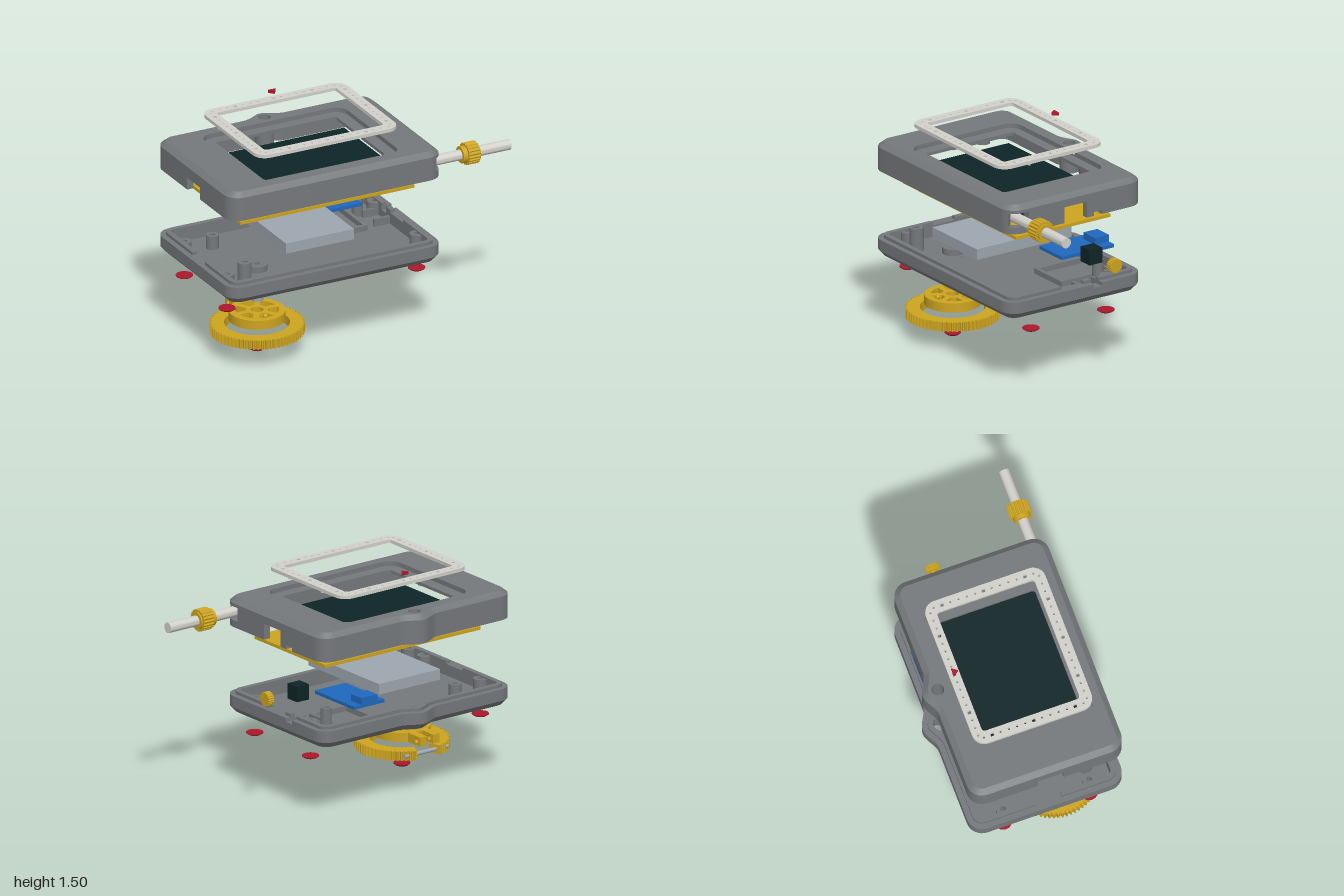
import * as THREE from 'three';
import { toCreasedNormals } from 'three/addons/utils/BufferGeometryUtils.js';

const mat = (name, color) => Object.assign(new THREE.MeshStandardMaterial({ color }), { name });
const grey = mat('case grey', 0x75787b), gold = mat('gold', 0xcda41f), white = mat('off white', 0xd2d0ca);
const dark = mat('dark green black', 0x0e2426), blue = mat('board blue', 0x1f68bd);
const red = mat('red', 0xac182b), silver = mat('silver', 0x9da6af);

const V = (x, v) => new THREE.Vector2(x, v);
// Plan points are (x, -z), counter-clockwise seen from above
const arc = (x, z, r, a0, a1, n) => Array.from({ length: n + 1 }, (_, i) => {
  const a = THREE.MathUtils.degToRad(a0 + (a1 - a0) * i / n);
  return V(x + r * Math.cos(a), -z + r * Math.sin(a));
});
const circle = (x, z, r, n = 24) => arc(x, z, r, 0, 360, n).slice(0, -1);
const rect = (x0, x1, z0, z1, r = 0) => r
  ? [...arc(x1 - r, z1 - r, r, -90, 0, 6), ...arc(x1 - r, z0 + r, r, 0, 90, 6),
    ...arc(x0 + r, z0 + r, r, 90, 180, 6), ...arc(x0 + r, z1 - r, r, 180, 270, 6)]
  : [V(x0, -z1), V(x1, -z1), V(x1, -z0), V(x0, -z0)];
// Toothed rim
const teeth = (x, z, r, depth, n, a0 = 0, a1 = 360) => Array.from({ length: n * 4 }, (_, i) => {
  const a = THREE.MathUtils.degToRad(a0 + (a1 - a0) * i / (n * 4));
  const q = i % 4 < 2 ? r : r - depth;
  return V(x + q * Math.cos(a), -z + q * Math.sin(a));
});

// Upright prism from y0 to y1 with holes
function plate(pts, y0, y1, holes = []) {
  const s = new THREE.Shape(pts);
  s.holes = holes.map(h => new THREE.Path(h));
  const g = new THREE.ExtrudeGeometry(s, { depth: y1 - y0, bevelEnabled: false });
  return toCreasedNormals(g.rotateX(-Math.PI / 2).translate(0, y0, 0), 0.5);
}

// Case outline with a lanyard bump at the back, then moved inwards by d
const bump = Array.from({ length: 17 }, (_, i) => {
  const t = 0.15 - 0.3 * i / 16;
  return V(-0.25 + t, 0.49 + 0.0275 * (1 + Math.cos(Math.PI * t / 0.15)));
});
const outline = [...arc(0.4, 0.43, 0.1, -90, 0, 8), V(0.5, -0.385), V(0.5, -0.115), V(0.5, 0.055), V(0.5, 0.11),
  V(0.5, 0.17), ...arc(0.4, -0.39, 0.1, 0, 90, 8), ...bump, ...arc(-0.9, -0.39, 0.1, 90, 180, 8),
  V(-1, 0.055), V(-1, -0.115), ...arc(-0.9, 0.43, 0.1, 180, 270, 8)];
function inset(d) {
  const n = outline.length;
  return outline.map((p, i) => {
    const t1 = p.clone().sub(outline[(i + n - 1) % n]).normalize();
    const t2 = outline[(i + 1) % n].clone().sub(p).normalize();
    const k = d / (1 + t1.dot(t2));
    return V(p.x - (t1.y + t2.y) * k, p.y + (t1.x + t2.x) * k);
  });
}
// Sloped band between two insets, lower one first
function band(d0, y0, d1, y1) {
  const A = inset(d0), B = inset(d1), n = A.length, pos = [];
  for (let i = 0; i < n; i++) {
    const j = (i + 1) % n;
    const at = (p, y) => [p.x, y, -p.y];
    const a0 = at(A[i], y0), a1 = at(A[j], y0), b0 = at(B[i], y1), b1 = at(B[j], y1);
    pos.push(...a0, ...a1, ...b1, ...a0, ...b1, ...b0);
  }
  const g = new THREE.BufferGeometry();
  g.setAttribute('position', new THREE.Float32BufferAttribute(pos, 3));
  return toCreasedNormals(g, 0.5);
}
// Wall ring between two insets, broken where a gap test is true
function wall(y0, y1, d0, d1, gaps = []) {
  const A = inset(d0), B = inset(d1), n = A.length;
  if (!gaps.length) return [plate(A, y0, y1, [B])];
  const runs = [[0]];
  for (let i = 0; i < n; i++) {
    const m = outline[i].clone().add(outline[(i + 1) % n]).multiplyScalar(0.5);
    if (gaps.some(f => f(m.x, -m.y))) runs.push([i + 1]);
    else runs.at(-1).push((i + 1) % n);
  }
  runs[runs.length - 1].push(...runs.shift().slice(1));
  return runs.filter(r => r.length > 1)
    .map(r => plate([...r.map(i => A[i]), ...r.map(i => B[i]).reverse()], y0, y1));
}
const rightWindow = (x, z) => x > 0.49 && z > -0.055 && z < 0.115;
const leftWindow = (x, z) => x < -0.99 && z > -0.055 && z < 0.115;
const knobNotch = (x, z) => x > 0.49 && z > -0.17 && z < -0.11;
const rodNotch = (x, z) => x > 0.455 && z > 0.385;

export function createModel() {
  const root = new THREE.Group();
  root.name = 'explodedDevice';
  const group = name => { const g = new THREE.Group(); g.name = name; root.add(g); return g; };
  const add = (parent, name, geo, m) => [geo].flat().forEach(g => {
    const mesh = new THREE.Mesh(g, m); mesh.name = name; parent.add(mesh);
  });
  const box = (x0, x1, y0, y1, z0, z1) => new THREE.BoxGeometry(x1 - x0, y1 - y0, z1 - z0)
    .translate((x0 + x1) / 2, (y0 + y1) / 2, (z0 + z1) / 2);
  const tube = (x, z, r, hole, y0, y1) => plate(circle(x, z, r), y0, y1, [circle(x, z, hole, 16)]);
  const alongX = (g, y, z) => g.rotateZ(-Math.PI / 2).translate(0, y, z);
  const gx = -0.63, gz = 0.175;
  const feet = [[-0.915, 0.315], [-0.915, -0.255], [0.42, 0.315], [0.42, -0.255]];
  const eyelet = circle(-0.25, -0.445, 0.04);

  // Pointer and perforated bezel
  add(root, 'pointer', plate([V(-0.25, 0.312), V(-0.223, 0.348), V(-0.277, 0.348)], 1.475, 1.495), red);
  const holes = [rect(-0.665, 0.173, -0.3, 0.347, 0.02)];
  const mark = (x, z, k) => holes.push(Math.abs(k) === 5 || k === 0
    ? rect(x - 0.011, x + 0.011, z - 0.011, z + 0.011) : circle(x, z, 0.008, 8));
  for (let k = -8; k <= 8; k++) [-0.335, 0.385].forEach(z => mark(-0.247 + 0.054 * k, z, k));
  for (let k = -6; k <= 6; k++) [-0.703, 0.211].forEach(x => mark(x, 0.025 + 0.055 * k, k));
  const bezel = group('bezel');
  add(bezel, 'bezelFrame', plate(rect(-0.745, 0.252, -0.37, 0.422, 0.08), 1.415, 1.437, holes), white);
  for (const x of [-0.73, 0.238]) for (const z of [0.2, -0.14])
    add(bezel, 'bezelPin', plate(circle(x, z, 0.008, 10), 1.403, 1.415), white);

  // Upper case: walls with windows, bevel, recessed top
  const upper = group('upperCase');
  const layers = [[1.08, 1.105, rightWindow, leftWindow, knobNotch], [1.105, 1.125, rightWindow, leftWindow],
    [1.125, 1.16, rightWindow, leftWindow, rodNotch], [1.16, 1.185, rightWindow, rodNotch],
    [1.185, 1.215, rodNotch], [1.215, 1.235]];
  for (const [y0, y1, ...gaps] of layers) add(upper, 'upperWall', wall(y0, y1, 0, 0.045, gaps), grey);
  add(upper, 'upperBevel', band(0, 1.235, 0.036, 1.265), grey);
  add(upper, 'topFace', plate(inset(0.036), 1.235, 1.265, [rect(-0.75, 0.257, -0.375, 0.427, 0.085), eyelet]), grey);
  add(upper, 'bezelShelf', plate(inset(0.036), 1.215, 1.235, [rect(-0.67, 0.178, -0.305, 0.352, 0.02), eyelet]), grey);
  add(upper, 'eyeletCollar', tube(-0.25, -0.445, 0.06, 0.04, 1.08, 1.22), grey);
  for (const [x, z] of feet) add(upper, 'screwPost', tube(x, z, 0.045, 0.018, 1.1, 1.215), grey);

  // Screen and circuit board
  add(root, 'screen', box(-0.742, 0.25, 1.076, 1.135, -0.33, 0.39), dark);
  const mounts = [-0.81, 0.315].flatMap(x => [-0.28, 0.34].map(z => circle(x, z, 0.02, 16)));
  add(root, 'circuitBoard', plate(rect(-0.86, 0.365, -0.33, 0.39), 0.985, 1.006, mounts), gold);

  // Side rod with knurled ring
  const rod = group('sideRod');
  add(rod, 'rod', alongX(plate(circle(0, 0, 0.034, 32), 0.42, 1), 1.172, 0.45), white);
  add(rod, 'ringCollar', alongX(tube(0, 0, 0.055, 0.034, 0.655, 0.775), 1.172, 0.45), gold);
  add(rod, 'knurledRing', alongX(plate(teeth(0, 0, 0.072, 0.006, 20), 0.685, 0.765), 1.172, 0.45), gold);

  // Battery, charging board, encoder and its knob
  add(root, 'battery', box(-0.54, -0.06, 0.722, 0.792, -0.33, 0.39), silver);
  add(root, 'chargingBoard', box(-0.012, 0.23, 0.715, 0.736, -0.45, -0.052), blue);
  add(root, 'chargingSocket', box(0.046, 0.172, 0.736, 0.78, -0.452, -0.345), blue);
  add(root, 'encoder', box(0.38, 0.475, 0.745, 0.845, -0.19, -0.092), dark);
  const knob = group('encoderKnob');
  const rim = teeth(0, 0, 0.046, 0.003, 20);
  add(knob, 'knobSleeve', alongX(plate(rim, 0.652, 0.68, [circle(0, 0, 0.022, 16)]), 0.797, -0.142), gold);
  add(knob, 'knobCap', alongX(plate(rim, 0.68, 0.695), 0.797, -0.142), gold);

  // Lower case: grooved base, floor, walls and lip
  const lower = group('lowerCase');
  const clear = (x, z) => x > -0.93 && x < 0.43 && z > -0.42 && z < 0.46
    && Math.hypot(x - gx, z - gz) > 0.325 && Math.hypot(x + 0.25, z + 0.445) > 0.09
    && feet.every(([a, b]) => Math.hypot(x - a, z - b) > 0.085);
  const slots = [], c = Math.cos(Math.PI / 6), s = Math.sin(Math.PI / 6), w = 0.007;
  for (let row = -19; row <= 19; row++) {
    const at = (t, o) => V(-0.25 + c * t - s * (row * 0.045 + o), -(s * t + c * (row * 0.045 + o)));
    let start = null;
    for (let k = -50; k <= 50; k++) {
      const t = k * 0.02, p = at(t, 0);
      const open = clear(p.x, -p.y) && (k + row * 7 + 700) % 17 !== 0;
      if (open && start === null) start = t;
      if (!open && start !== null) {
        if (t - start > 0.05) slots.push([at(start, w), at(t - 0.02, w), at(t - 0.02, -w), at(start, -w)]);
        start = null;
      }
    }
  }
  const pads = feet.map(([x, z]) => circle(x, z, 0.055).map(p => V(THREE.MathUtils.clamp(p.x, -0.958, 0.458), p.y)));
  add(lower, 'groovedBase', plate(inset(0.037), 0.51, 0.525, [...slots, ...pads, circle(gx, gz, 0.3, 48), eyelet]), grey);
  const floorHoles = [eyelet, circle(gx, gz, 0.02, 12)];
  for (let i = 0; i < 3; i++) {
    const a = i * Math.PI * 2 / 3;
    floorHoles.push(circle(gx + 0.1 * Math.cos(a), gz + 0.1 * Math.sin(a), 0.012, 3));
  }
  add(lower, 'floor', plate(inset(0.037), 0.525, 0.55, floorHoles), grey);
  add(lower, 'lowerBevel', band(0.037, 0.51, 0, 0.55), grey);
  add(lower, 'lowerWall', wall(0.55, 0.6, 0, 0.07), grey);
  add(lower, 'lowerWallTop', wall(0.6, 0.625, 0, 0.07, [knobNotch]), grey);
  add(lower, 'lip', wall(0.625, 0.645, 0.036, 0.07, [rightWindow, leftWindow, knobNotch]), grey);
  add(lower, 'eyeletCollar', tube(-0.25, -0.445, 0.06, 0.04, 0.545, 0.625), grey);
  add(lower, 'gearBoss', tube(gx, gz, 0.065, 0.02, 0.55, 0.59), grey);
  for (const [x, z] of feet) add(lower, 'screwPost', tube(x, z, 0.045, 0.018, 0.545, 0.635), grey);
  for (const [x, z, r, y] of [[-0.8, 0.33, 0.045, 0.7], [0.31, -0.27, 0.035, 0.7], [-0.72, -0.25, 0.04, 0.64]])
    add(lower, 'tallPost', tube(x, z, r, 0.018, 0.55, y), grey);
  add(lower, 'boardTray', plate(rect(-0.04, 0.26, -0.42, -0.03), 0.55, 0.585, [rect(-0.015, 0.235, -0.4, -0.055)]), grey);
  for (const z of [-0.22, -0.07]) add(lower, 'encoderRib', box(0.32, 0.44, 0.55, 0.6, z - 0.01, z + 0.01), grey);

  // Domed feet and cap
  const button = (x, z, r, y, h) => toCreasedNormals(new THREE.LatheGeometry(
    [V(0, 0), V(r * 0.4, h * 0.08), V(r * 0.75, h * 0.35), V(r, h * 0.75), V(r, h), V(0, h)], 28).translate(x, y, z), 0.6);
  for (const [x, z] of feet) add(root, 'foot', button(x, z, 0.054, 0.383, 0.022), red);
  add(root, 'gearCap', button(gx, gz, 0.052, 0, 0.026), red);
  add(root, 'magnet', plate(circle(gx, gz, 0.039, 32), 0.345, 0.38), silver);

  // Spoked hub with hinge lugs
  const hub = group('hub');
  const webs = Array.from({ length: 6 }, (_, i) => [...arc(gx, gz, 0.135, i * 60 + 8, i * 60 + 52, 8),
    ...arc(gx, gz, 0.07, i * 60 + 45, i * 60 + 15, 4)]);
  add(hub, 'hubDisc', plate(circle(gx, gz, 0.178, 48), 0.217, 0.277, [...webs, circle(gx, gz, 0.04)]), gold);
  const lug = new THREE.Shape([V(-0.025, 0.217), V(0.11, 0.217), V(0.11, 0.277), V(-0.025, 0.277)]);
  lug.holes.push(new THREE.Path(arc(0.07, -0.247, 0.015, 0, 360, 16).slice(0, -1)));
  for (const x of [-0.075, 0.025]) add(hub, 'hingeLug', new THREE.ExtrudeGeometry(lug, { depth: 0.05, bevelEnabled: false })
    .rotateY(Math.PI / 2).translate(gx + x, 0, 0), gold);
  add(hub, 'detent', new THREE.SphereGeometry(0.015, 16, 10).translate(gx, 0.277, 0.287), gold);

  // Open toothed ring and its pin
  const ring = group('gearRing');
  add(ring, 'toothedRing', plate([...teeth(gx, gz, 0.2975, 0.014, 60, 107, 433),
    ...arc(gx, gz, 0.205, 433, 107, 48)], 0.132, 0.192), gold);
  add(ring, 'hingePin', alongX(plate(circle(0, 0, 0.013, 12), gx - 0.17, gx + 0.17), 0.162, -0.07), silver);
  return root;
}
